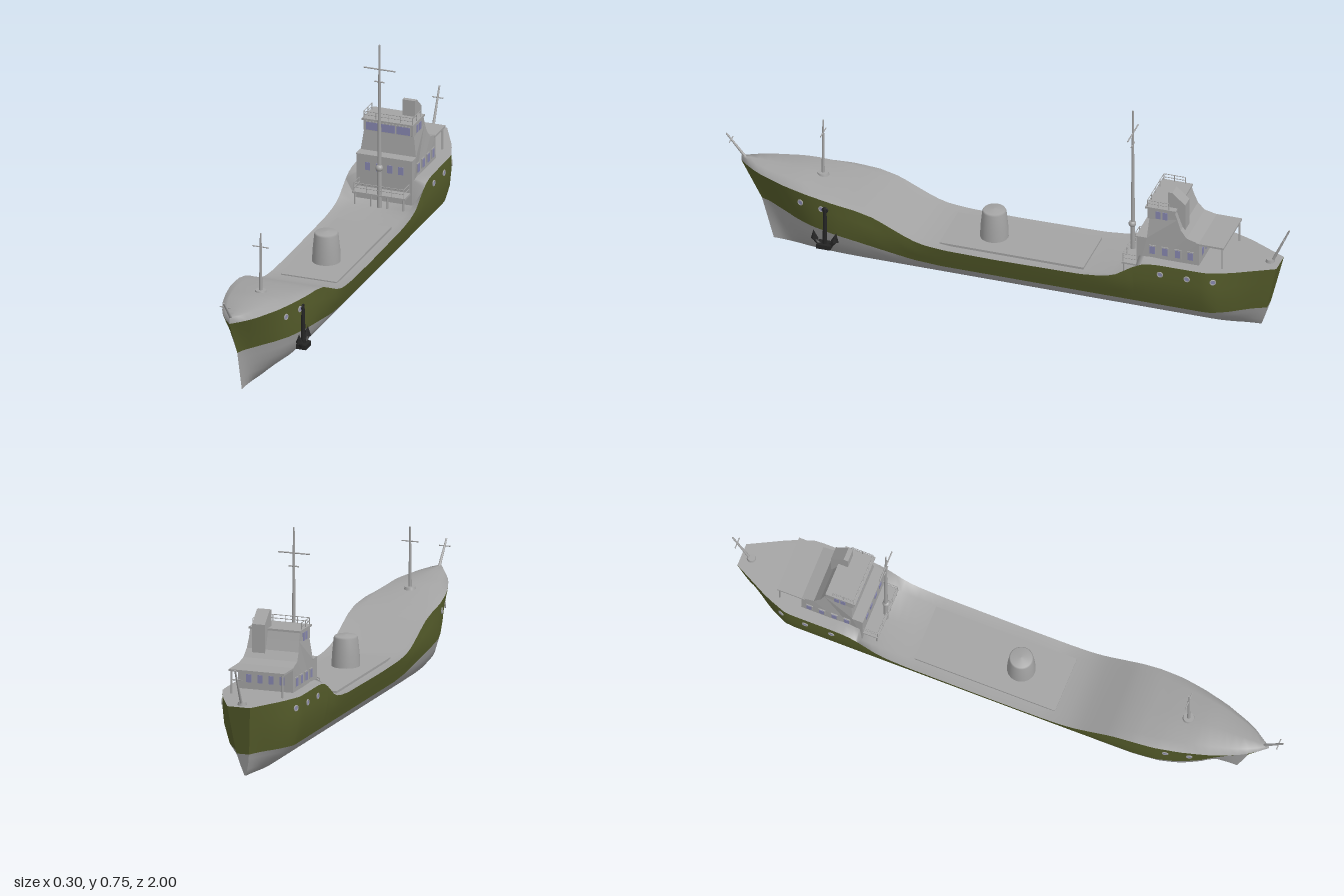
import * as THREE from 'three';

const { DoubleSide } = THREE;
const mat = (name, color, extra = {}) => {
  const m = new THREE.MeshStandardMaterial({ color, ...extra });
  m.name = name;
  return m;
};

// Piecewise-linear lookup in a small table of [position, value]
function at(table, v) {
  if (v <= table[0][0]) return table[0][1];
  for (let i = 1; i < table.length; i++) {
    const [a, p] = table[i - 1], [b, q] = table[i];
    if (v <= b) return p + ((q - p) * (v - a)) / (b - a);
  }
  return table[table.length - 1][1];
}

// Hull lines
const SHEER = [[-0.97, 0.252], [-0.56, 0.25], [-0.52, 0.242], [-0.48, 0.222], [-0.45, 0.2], [-0.42, 0.18], [-0.38, 0.169],
  [-0.3, 0.161], [0, 0.157], [0.18, 0.159], [0.25, 0.165], [0.3, 0.178], [0.37, 0.21], [0.43, 0.238], [0.5, 0.255], [0.6, 0.265], [0.95, 0.285]];
const DECK = [[-0.97, 0.252], [-0.498, 0.25], [-0.49, 0.165], [-0.3, 0.154], [0.18, 0.154], [0.25, 0.163], [0.3, 0.176],
  [0.37, 0.208], [0.43, 0.238], [0.5, 0.26], [0.6, 0.28], [0.72, 0.297], [0.95, 0.304]];
const WATER = [[-0.97, 0.08], [0.2, 0.08], [0.3, 0.088], [0.4, 0.108], [0.5, 0.129], [0.6, 0.142], [0.95, 0.15]];
const PLAN = [[-0.965, 0.29], [-0.9, 0.53], [-0.83, 0.79], [-0.75, 1], [0.5, 1], [0.58, 0.97], [0.67, 0.86], [0.76, 0.7], [0.85, 0.46], [0.9, 0.27], [0.945, 0]];
const SECTION = [[0, 0.025], [0.045, 0.088], [0.08, 0.117], [0.155, 0.14], [0.3, 0.14]];
const STEM = [[0, 0.83], [0.15, 0.872], [0.285, 0.945]];
const STERN = [[0, -0.9], [0.08, -0.925], [0.252, -0.965]];
const smooth = (v) => THREE.MathUtils.smoothstep(v, 0, 1);

const halfWidth = (z, y) =>
  at(SECTION, y) * Math.pow(at(PLAN, z), 1 + (z > 0 ? 1.2 : 0.5) * Math.max(0, 1 - y / at(SHEER, z)));
// Moves a station lengthwise so that the ends follow the raked stem and stern
const rake = (z, y) => z - (0.945 - at(STEM, y)) * smooth((z - 0.6) / 0.345)
  - (-0.965 - at(STERN, y)) * smooth((-z - 0.75) / 0.215);
const hullPoint = (z, y, side) => [side * halfWidth(z, y), y, rake(z, y)];

// Surface through rows of points
function loft(rows) {
  const n = rows[0].length, index = [];
  for (let i = 0; i < rows.length - 1; i++)
    for (let j = 0; j < n - 1; j++) {
      const a = i * n + j, b = a + n;
      index.push(a, b, a + 1, b, b + 1, a + 1);
    }
  const g = new THREE.BufferGeometry();
  g.setAttribute('position', new THREE.Float32BufferAttribute(rows.flat(2), 3));
  g.setIndex(index);
  g.computeVertexNormals();
  return g;
}

export function createModel() {
  const grey = mat('ship grey', 0xa3a3a3, { side: DoubleSide });
  const olive = mat('olive hull paint', 0x565d2b, { side: DoubleSide });
  const glass = mat('window blue', 0x8686ae);
  const black = mat('anchor black', 0x242424);

  const model = new THREE.Group();
  const ship = new THREE.Group();
  ship.name = 'cargoShip';
  ship.position.x = -0.01;
  model.add(ship);

  const add = (name, geo, m, x = 0, y = 0, z = 0, parent = ship) => {
    const mesh = new THREE.Mesh(geo, m);
    mesh.name = name;
    mesh.position.set(x, y, z);
    parent.add(mesh);
    return mesh;
  };
  const box = (name, m, w, h, d, x, y, z, parent) => add(name, new THREE.BoxGeometry(w, h, d), m, x, y, z, parent);
  // Round bar between two points
  const bar = (name, a, b, r0, r1 = r0, m = grey, parent = ship) => {
    const p = new THREE.Vector3(...a), d = new THREE.Vector3(...b).sub(p);
    const mesh = add(name, new THREE.CylinderGeometry(r1, r0, d.length(), 10), m, 0, 0, 0, parent);
    mesh.position.copy(p).addScaledVector(d, 0.5);
    mesh.quaternion.setFromUnitVectors(new THREE.Vector3(0, 1, 0), d.normalize());
    return mesh;
  };
  // Side profile of [z, y] points extruded across the ship
  const profile = (pts, width) => new THREE.ExtrudeGeometry(
    new THREE.Shape(pts.map((p) => new THREE.Vector2(...p))), { depth: width, bevelEnabled: false })
    .rotateY(-Math.PI / 2).translate(width / 2, 0, 0);

  // Hull
  const stations = [];
  for (let i = 0; i <= 64; i++) stations.push(-0.965 + (1.91 * i) / 64);
  stations.push(-0.498, -0.49);
  stations.sort((a, b) => a - b);
  const lowerY = (z) => [1, 0.78, 0.56, 0.28, 0].map((f) => f * at(WATER, z));
  const upperY = (z) => [1, 0.66, 0.33, 0].map((f) => THREE.MathUtils.lerp(at(WATER, z), at(SHEER, z), f));
  add('lowerHull', loft(stations.map((z) => [
    ...lowerY(z).map((y) => hullPoint(z, y, 1)), ...lowerY(z).reverse().map((y) => hullPoint(z, y, -1))])), grey);
  add('leftTopside', loft(stations.map((z) => upperY(z).map((y) => hullPoint(z, y, 1)))), olive);
  add('rightTopside', loft(stations.map((z) => upperY(z).reverse().map((y) => hullPoint(z, y, -1)))), olive);
  const transom = (ys) => loft(ys.reverse().map((y) => [hullPoint(-0.965, y, -1), hullPoint(-0.965, y, 1)]));
  add('lowerTransom', transom(lowerY(-0.965)), grey);
  add('upperTransom', transom(upperY(-0.965)), olive);
  add('deck', loft(stations.map((z) => {
    const s = at(SHEER, z), d = at(DECK, z), w = halfWidth(z, s), zz = rake(z, s);
    return [[-w, s, zz], [-0.75 * w, d, zz], [0, d, zz], [0.75 * w, d, zz], [w, s, zz]];
  })), grey);
  box('cargoHatch', grey, 0.2, 0.014, 0.51, 0, 0.155, -0.045);

  // Portholes
  for (const side of [-1, 1])
    for (const [z, y] of [[0.7, 0.23], [0.62, 0.23], [-0.585, 0.215], [-0.68, 0.215], [-0.77, 0.215]]) {
      const slope = (halfWidth(z + 0.01, y) - halfWidth(z - 0.01, y)) / 0.02;
      const port = new THREE.Group();
      port.name = 'porthole';
      port.position.set(side * (halfWidth(z, y) + 0.001), y, z);
      port.rotation.y = Math.atan2(side, -slope);
      add('portholeRim', new THREE.TorusGeometry(0.009, 0.0025, 6, 16), grey, 0, 0, 0, port);
      add('portholeGlass', new THREE.CircleGeometry(0.008, 16), glass, 0, 0, 0.001, port);
      ship.add(port);
    }

  // Deck ventilator
  add('ventilator', new THREE.LatheGeometry([[0.049, 0], [0.047, 0.05], [0.041, 0.108], [0.037, 0.114], [0, 0.118]]
    .map((p) => new THREE.Vector2(...p)), 28), grey, 0, 0.152, 0.048);

  // Deckhouse and bridge in one tapered block
  const house = profile([[-0.488, 0.16], [-0.488, 0.325], [-0.525, 0.325], [-0.531, 0.397], [-0.525, 0.4], [-0.525, 0.44],
    [-0.62, 0.44], [-0.63, 0.41], [-0.643, 0.375], [-0.665, 0.348], [-0.71, 0.336], [-0.71, 0.16]], 0.2);
  const pos = house.attributes.position;
  for (let i = 0; i < pos.count; i++)
    pos.setX(i, Math.sign(pos.getX(i)) * at([[0.325, 0.1], [0.4, 0.09]], pos.getY(i)));
  house.computeVertexNormals();
  add('deckhouse', house, grey);
  box('bridgeRoof', grey, 0.186, 0.007, 0.108, 0, 0.441, -0.571);
  box('deckhouseLedge', grey, 0.204, 0.004, 0.04, 0, 0.325, -0.506);
  box('awning', grey, 0.2, 0.007, 0.1, 0, 0.333, -0.747);
  add('funnel', profile([[-0.59, 0.4], [-0.59, 0.502], [-0.606, 0.502], [-0.652, 0.462], [-0.652, 0.36], [-0.62, 0.36]], 0.046), grey, 0.048);

  // Windows
  for (const x of [-0.055, 0, 0.055]) {
    box('bridgeWindowFrame', grey, 0.054, 0.034, 0.004, x, 0.417, -0.5245);
    box('bridgeWindow', glass, 0.049, 0.028, 0.006, x, 0.417, -0.5245);
  }
  for (const x of [-0.06, -0.02, 0.02, 0.06]) {
    box('frontWindow', glass, 0.018, 0.028, 0.004, x, 0.285, -0.488);
    box('aftWindow', glass, 0.018, 0.028, 0.004, x, 0.288, -0.71);
  }
  for (const side of [-1, 1]) {
    for (const z of [-0.562, -0.586]) box('bridgeSideWindow', glass, 0.004, 0.028, 0.017, side * 0.09, 0.417, z);
    for (const z of [-0.545, -0.59, -0.635, -0.68]) {
      box('sideWindowFrame', grey, 0.004, 0.035, 0.025, side * 0.1, 0.282, z);
      box('sideWindow', glass, 0.007, 0.028, 0.018, side * 0.1, 0.282, z);
    }
    bar('awningPost', [side * 0.092, 0.25, -0.79], [side * 0.092, 0.333, -0.79], 0.0035);
  }

  // Railings: posts at each point, joined along the top
  const railing = (name, pts, y0, y1, mid) => {
    const g = new THREE.Group();
    g.name = name;
    ship.add(g);
    pts.forEach(([x, z], i) => {
      bar('railPost', [x, y0, z], [x, y1, z], 0.0015, 0.0015, grey, g);
      if (i) for (const y of [y1, mid]) bar('rail', [pts[i - 1][0], y, pts[i - 1][1]], [x, y, z], 0.0013, 0.0013, grey, g);
    });
  };
  railing('bridgeRailing', [[-0.088, -0.6], [-0.088, -0.562], [-0.088, -0.524], [-0.044, -0.524], [0, -0.524],
    [0.044, -0.524], [0.088, -0.524], [0.088, -0.562], [0.088, -0.6]], 0.444, 0.468, 0.456);
  railing('platformRailing', [[-0.09, -0.488], [-0.09, -0.437], [-0.045, -0.437], [0, -0.437],
    [0.045, -0.437], [0.09, -0.437], [0.09, -0.488]], 0.205, 0.24, 0.224);
  box('frontPlatform', grey, 0.19, 0.006, 0.058, 0, 0.206, -0.463);
  for (const x of [-0.088, -0.03, 0.03, 0.088]) bar('platformPost', [x, 0.158, -0.44], [x, 0.206, -0.44], 0.003);

  // Masts
  bar('mainMast', [0, 0.16, -0.443], [0, 0.755, -0.443], 0.009, 0.003);
  bar('mainMastYard', [-0.057, 0.666, -0.443], [0.057, 0.666, -0.443], 0.0024);
  bar('mainMastSpreader', [-0.018, 0.62, -0.443], [0.018, 0.62, -0.443], 0.0024);
  add('mastLamp', new THREE.SphereGeometry(0.013, 14, 10), grey, 0, 0.306, -0.441);
  add('foremastFoot', new THREE.CylinderGeometry(0.018, 0.021, 0.01, 20), grey, 0, 0.29, 0.655);
  bar('foremast', [0, 0.28, 0.655], [0, 0.502, 0.655], 0.006, 0.003);
  bar('foremastYard', [-0.03, 0.452, 0.655], [0.03, 0.452, 0.655], 0.002);

  // Flagstaffs at both ends
  bar('bowStaff', [0, 0.3, 0.93], [0, 0.381, 0.998], 0.005, 0.003);
  bar('bowStaffYard', [-0.02, 0.36, 0.981], [0.02, 0.36, 0.981], 0.002);
  bar('sternStaff', [0, 0.25, -0.935], [0, 0.387, -0.998], 0.005, 0.003);
  bar('sternStaffYard', [-0.02, 0.35, -0.981], [0.02, 0.35, -0.981], 0.002);
  add('sternBollard', new THREE.CylinderGeometry(0.014, 0.016, 0.012, 16), grey, 0, 0.257, -0.93);

  // Anchor on the left bow
  const anchor = new THREE.Group();
  anchor.name = 'anchor';
  anchor.position.set(0.135, 0, 0.605);
  ship.add(anchor);
  bar('anchorShank', [0, 0.09, 0], [-0.002, 0.235, 0], 0.0085, 0.006, black, anchor);
  add('anchorRing', new THREE.TorusGeometry(0.009, 0.003, 6, 14), black, -0.002, 0.232, 0, anchor).rotation.y = Math.PI / 2;
  box('anchorCrown', black, 0.036, 0.016, 0.05, 0, 0.095, 0, anchor);
  add('anchorArms', new THREE.TorusGeometry(0.038, 0.007, 8, 16, Math.PI).rotateZ(Math.PI).rotateY(Math.PI / 2),
    black, 0, 0.131, 0, anchor);
  for (const s of [-1, 1])
    add('anchorFluke', new THREE.ConeGeometry(0.014, 0.034, 4), black, 0, 0.132, s * 0.038, anchor).rotation.x = s * 0.15;

  return model;
}
